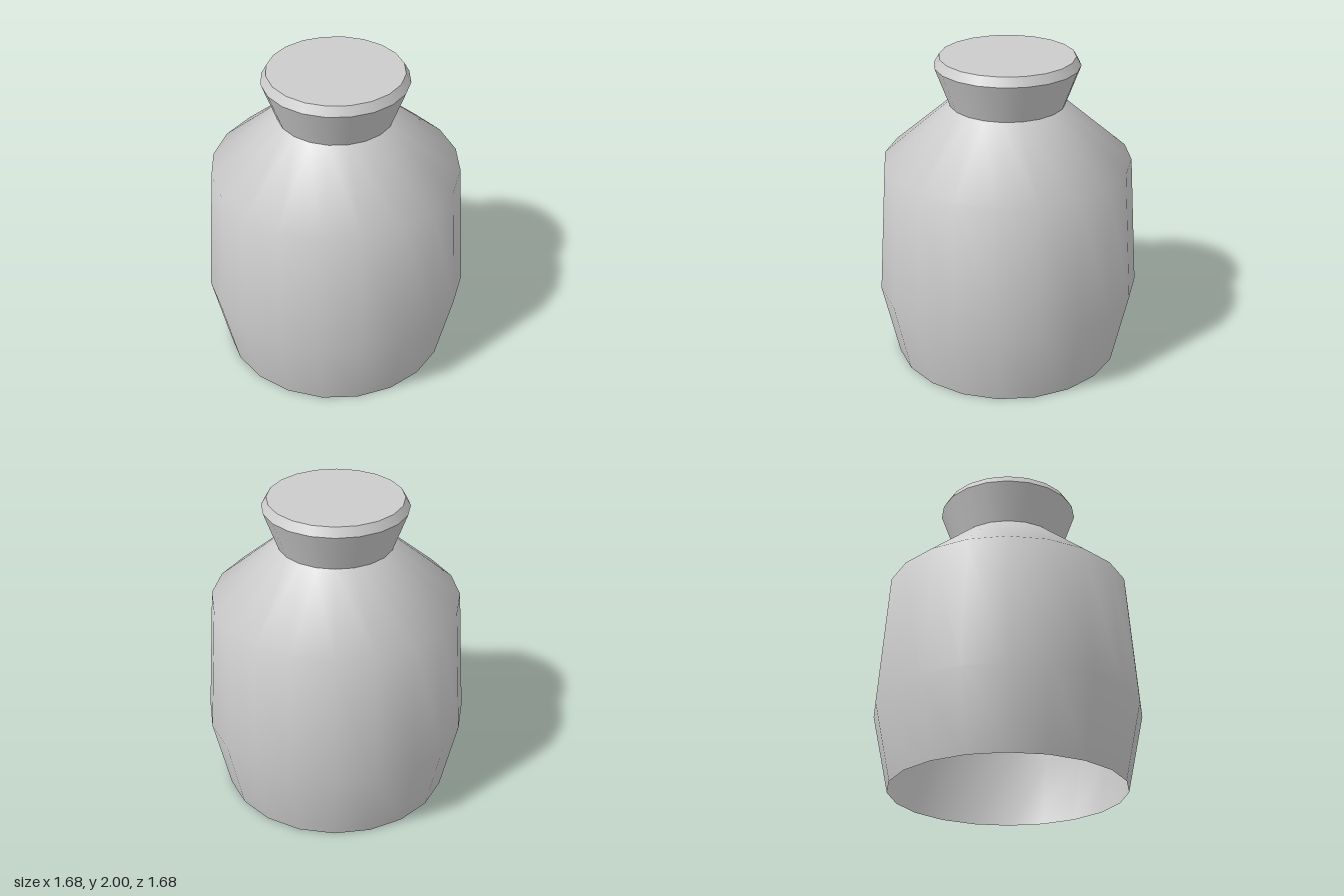
import * as THREE from 'three';

const SIDES = 20;
const material = new THREE.MeshStandardMaterial({ color: 0xcccccc, side: THREE.DoubleSide });

// Smooth ring turned from [radius, height] pairs, listed bottom to top
function turned(name, profile) {
  const points = profile.map(([r, y]) => new THREE.Vector2(r, y));
  const mesh = new THREE.Mesh(new THREE.LatheGeometry(points, SIDES), material);
  mesh.name = name;
  return mesh;
}

export function createModel() {
  const jar = new THREE.Group();
  jar.name = 'jar';

  // Hollow body, open underneath, with a sloping shoulder
  jar.add(turned('body', [[0.735, 0], [0.84, 0.49], [0.78, 1.34], [0.36, 1.7]]));

  // Flared stopper: separate rings keep its edges sharp
  const stopper = new THREE.Group();
  stopper.name = 'stopper';
  stopper.add(turned('stopperFlare', [[0.36, 1.7], [0.45, 1.945]]));
  stopper.add(turned('stopperBevel', [[0.45, 1.945], [0.418, 2]]));

  const top = new THREE.Mesh(new THREE.CircleGeometry(0.418, SIDES), material);
  top.name = 'stopperTop';
  top.rotation.x = -Math.PI / 2;
  top.position.y = 2;
  stopper.add(top);

  jar.add(stopper);
  return jar;
}
